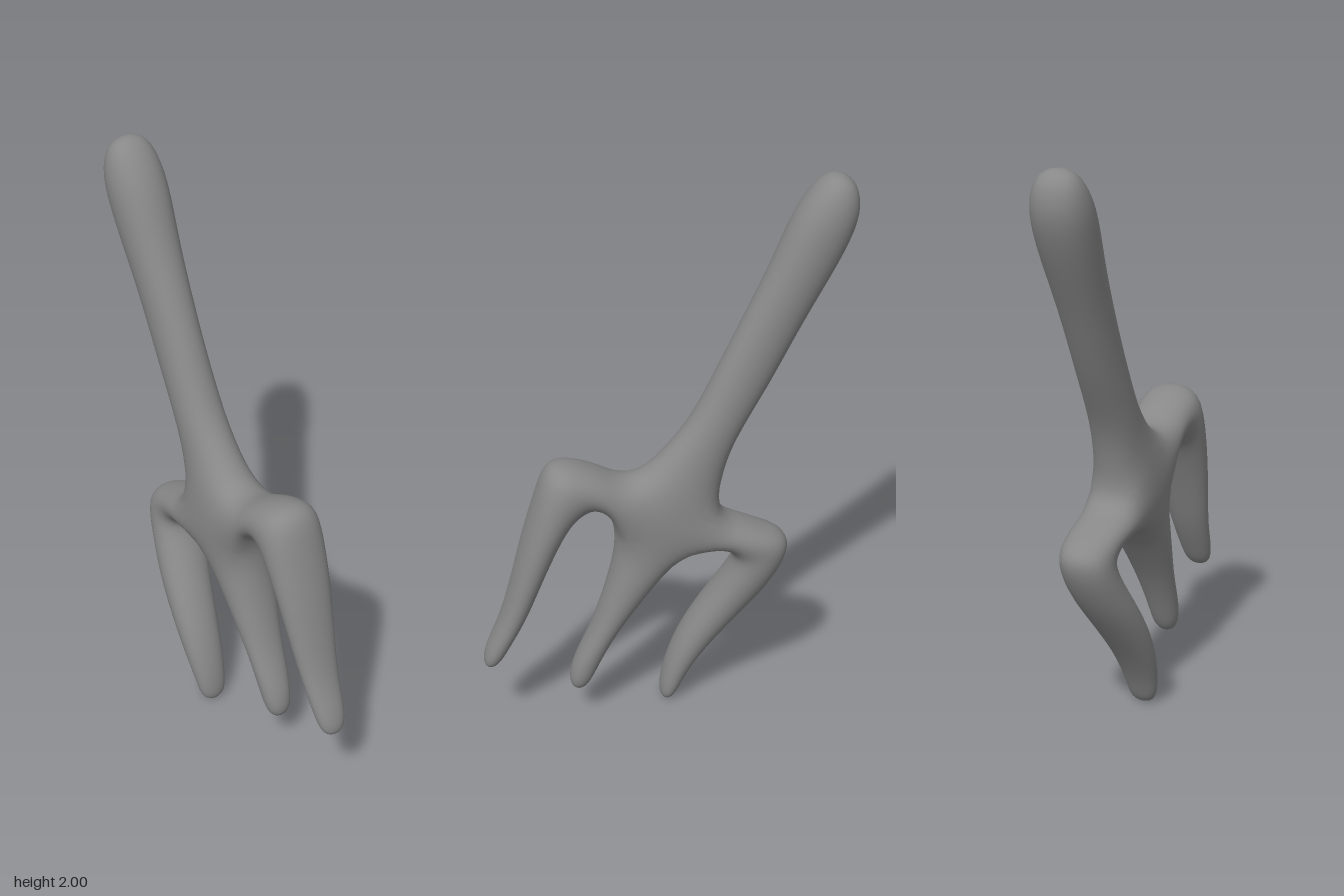
import * as THREE from 'three';

const V = (x, y, z) => new THREE.Vector3(x, y, z);

// Catmull-Clark subdivision of a closed quad cage
function subdivide({ verts, quads }) {
  const n = verts.length;
  const out = verts.map(() => V(0, 0, 0));
  const facePts = quads.map(q => q.reduce((s, i) => s.add(verts[i]), V(0, 0, 0)).multiplyScalar(0.25));
  const edges = new Map();
  const key = (a, b) => (a < b ? a * 1e6 + b : b * 1e6 + a);
  const valence = new Array(n).fill(0);
  const faceSum = verts.map(() => V(0, 0, 0));
  const midSum = verts.map(() => V(0, 0, 0));
  quads.forEach((q, f) => q.forEach((a, i) => {
    const b = q[(i + 1) % 4];
    const k = key(a, b);
    if (!edges.has(k)) edges.set(k, { a, b, sum: V(0, 0, 0) });
    edges.get(k).sum.add(facePts[f]);
    faceSum[a].add(facePts[f]);
    valence[a]++;
  }));
  for (const e of edges.values()) {
    const mid = verts[e.a].clone().add(verts[e.b]).multiplyScalar(0.5);
    midSum[e.a].add(mid);
    midSum[e.b].add(mid);
    e.index = out.length;
    out.push(mid.multiplyScalar(0.5).addScaledVector(e.sum, 0.25));
  }
  for (let i = 0; i < n; i++) {
    const k = valence[i];
    out[i].addScaledVector(faceSum[i], 1 / (k * k))
      .addScaledVector(midSum[i], 2 / (k * k))
      .addScaledVector(verts[i], (k - 3) / k);
  }
  const newQuads = [];
  quads.forEach((q, f) => {
    const c = out.length;
    out.push(facePts[f]);
    q.forEach((a, i) => newQuads.push([
      a, edges.get(key(a, q[(i + 1) % 4])).index, c, edges.get(key(q[(i + 3) % 4], a)).index,
    ]));
  });
  return { verts: out, quads: newQuads };
}

// Limb sections: [zA, yA, zB, yB, centre x, half thickness], from the hub outwards
const handle = [
  [-0.02, 1.07, -0.19, 0.93, 0.007, 0.083],
  [-0.10, 1.17, -0.23, 1.07, 0.005, 0.08],
  [-0.19, 1.36, -0.345, 1.26, 0.004, 0.076],
  [-0.285, 1.555, -0.455, 1.485, 0.004, 0.08],
  [-0.355, 1.70, -0.54, 1.64, 0.004, 0.09],
  [-0.41, 1.84, -0.612, 1.78, 0.004, 0.1],
  [-0.465, 1.935, -0.645, 1.89, 0.004, 0.096],
  [-0.54, 2.018, -0.62, 1.993, 0.004, 0.056],
];
const frontTine = [
  [0.19, 0.835, 0.21, 1.0, 0.005, 0.1],
  [0.235, 0.87, 0.295, 1.04, 0.005, 0.102],
  [0.265, 0.87, 0.405, 1.055, 0.005, 0.11],
  [0.32, 0.84, 0.445, 0.92, 0.005, 0.11],
  [0.37, 0.75, 0.495, 0.76, 0.005, 0.1],
  [0.43, 0.61, 0.535, 0.60, 0.005, 0.085],
  [0.485, 0.465, 0.578, 0.45, 0.005, 0.067],
  [0.548, 0.35, 0.635, 0.34, 0.004, 0.057],
  [0.6, 0.258, 0.648, 0.263, 0.004, 0.04],
];
const middleTine = [
  [0, 0.60, 0.185, 0.615, 0.01, 0.098],
  [0.08, 0.495, 0.22, 0.495, 0.01, 0.085],
  [0.165, 0.375, 0.265, 0.36, 0.008, 0.067],
  [0.235, 0.235, 0.338, 0.228, 0.005, 0.055],
  [0.285, 0.115, 0.345, 0.123, 0.005, 0.04],
];
const rearTine = [
  [-0.265, 0.76, -0.19, 0.665, 0.012, 0.097],
  [-0.35, 0.725, -0.23, 0.64, 0.022, 0.094],
  [-0.455, 0.675, -0.24, 0.605, 0.022, 0.092],
  [-0.385, 0.52, -0.22, 0.55, 0.007, 0.095],
  [-0.3, 0.40, -0.165, 0.455, -0.02, 0.09],
  [-0.197, 0.27, -0.085, 0.325, -0.04, 0.08],
  [-0.125, 0.17, -0.03, 0.205, -0.047, 0.07],
  [-0.075, 0.085, 0.005, 0.085, -0.047, 0.057],
  [-0.035, -0.007, 0.01, -0.007, -0.045, 0.043],
];

function buildCage() {
  const verts = [];
  const quads = [];
  const add = (x, y, z) => verts.push(V(x, y, z)) - 1;

  // Hub: a four-sided block whose every side grows a limb
  const corners = [[0.11, 0.955], [-0.19, 0.80], [-0.09, 0.655], [0.175, 0.75]];
  const left = corners.map(([z, y]) => add(0.117, y, z));
  const right = corners.map(([z, y]) => add(-0.105, y, z));
  quads.push([left[0], left[3], left[2], left[1]], right.slice());

  const swell = 1.09; // offsets the shrinkage from smoothing
  [handle, rearTine, middleTine, frontTine].forEach((limb, i) => {
    const j = (i + 1) % 4;
    let ring = [left[i], left[j], right[j], right[i]];
    for (const [zA, yA, zB, yB, x, half] of limb) {
      const cz = (zA + zB) / 2, cy = (yA + yB) / 2;
      const dz = (zA - zB) / 2 * swell, dy = (yA - yB) / 2 * swell, h = half * swell;
      const next = [
        add(x + h, cy + dy, cz + dz), add(x + h, cy - dy, cz - dz),
        add(x - h, cy - dy, cz - dz), add(x - h, cy + dy, cz + dz),
      ];
      for (let k = 0; k < 4; k++) {
        const m = (k + 1) % 4;
        quads.push([ring[k], ring[m], next[m], next[k]]);
      }
      ring = next;
    }
    quads.push(ring); // rounded tip
  });
  return { verts, quads };
}

export function createModel() {
  let cage = buildCage();
  for (let i = 0; i < 3; i++) cage = subdivide(cage);

  const geometry = new THREE.BufferGeometry().setFromPoints(cage.verts);
  geometry.setIndex(cage.quads.flatMap(([a, b, c, d]) => [a, b, c, a, c, d]));
  geometry.computeVertexNormals();

  const fork = new THREE.Mesh(geometry, new THREE.MeshStandardMaterial({ color: 0x888888 }));
  fork.name = 'handForkBody';
  const group = new THREE.Group();
  group.name = 'handFork';
  group.add(fork);
  return group;
}
